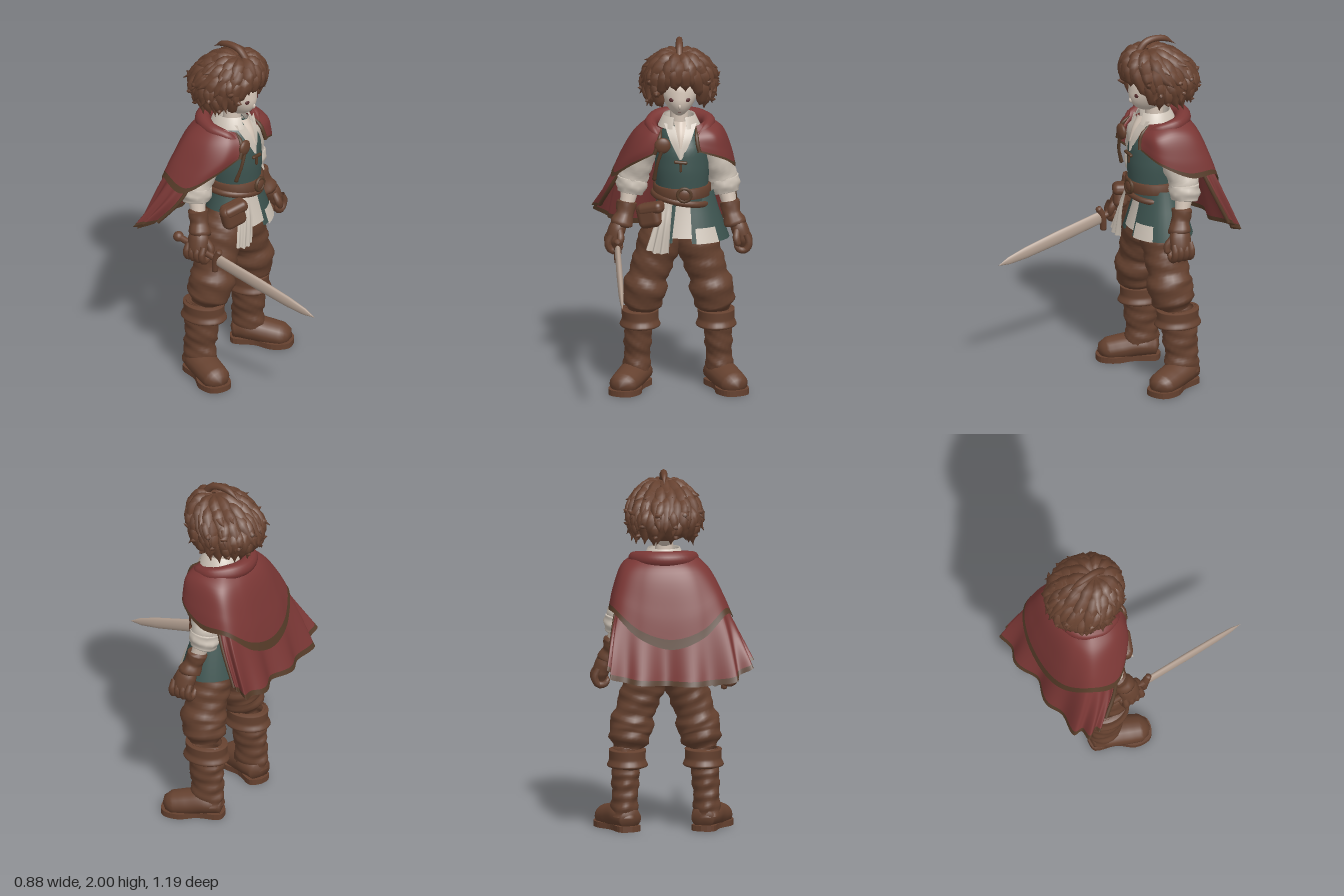
import * as THREE from 'three';
import { mergeVertices } from 'three/addons/utils/BufferGeometryUtils.js';
import { RoundedBoxGeometry } from 'three/addons/geometries/RoundedBoxGeometry.js';

const V = (x, y, z) => new THREE.Vector3(x, y, z);
const mat = (name, color) => {
  const m = new THREE.MeshStandardMaterial({ color, side: THREE.DoubleSide });
  m.name = name;
  return m;
};

export function createModel() {
  const root = new THREE.Group();
  root.name = 'adventurer';
  const hair = mat('hair brown', 0x674230), leather = mat('leather brown', 0x65412f);
  const red = mat('cape red', 0x7a3735), trim = mat('trim brown', 0x553b28);
  const green = mat('vest green', 0x3d5450), cloth = mat('cloth white', 0xcbc1b5);
  const skin = mat('skin', 0xd3c4b6), steel = mat('blade steel', 0xb19e90);
  const dark = mat('eye dark', 0x5a3030);

  const add = (name, material, geo, pos = [0, 0, 0], rot = [0, 0, 0], scale = [1, 1, 1], parent = root) => {
    const m = new THREE.Mesh(geo, material);
    m.name = name;
    m.position.set(...pos); m.rotation.set(...rot); m.scale.set(...scale);
    parent.add(m);
    return m;
  };
  const smooth = (g) => {
    g.deleteAttribute('uv'); g.deleteAttribute('normal');
    const s = mergeVertices(g, 1e-5);
    s.computeVertexNormals();
    return s;
  };
  // Tube through [x, y, z, radius] points, with optional stretch and slanting cloth wrinkles
  const limb = (name, material, pts, { k = [1, 1, 1], wrinkle = 0, seg = 20, rad = 14, floor = -9, parent = root } = {}) => {
    const curve = new THREE.CatmullRomCurve3(pts.map((p) => V(p[0], p[1], p[2])));
    const g = new THREE.TubeGeometry(curve, seg, 1, rad);
    const pos = g.attributes.position, p = V(), n = pts.length - 1;
    for (let i = 0; i <= seg; i++) {
      const t = curve.getUtoTmapping(i / seg) * n, a = Math.min(Math.floor(t), n - 1);
      const r = THREE.MathUtils.lerp(pts[a][3], pts[a + 1][3], THREE.MathUtils.smoothstep(t - a, 0, 1));
      const c = curve.getPointAt(i / seg);
      for (let j = 0; j <= rad; j++) {
        const q = i * (rad + 1) + j, ang = (j / rad) * Math.PI * 2;
        p.fromBufferAttribute(pos, q).sub(c);
        p.multiplyScalar(r + (r > 0 ? wrinkle * Math.sin(c.y * 80 + 3 * Math.sin(ang)) * Math.cos(ang * 2 + c.y * 25) : 0));
        pos.setXYZ(q, c.x + p.x * k[0], Math.max(floor, c.y + p.y * k[1]), c.z + p.z * k[2]);
      }
    }
    return add(name, material, smooth(g), [0, 0, 0], [0, 0, 0], [1, 1, 1], parent);
  };
  // Cloth sheet through columns of control points, for v from v0 to v1
  const sheet = (name, material, cols, { nu = 64, nv = 14, v0 = 0, v1 = 1, amp = 0, freq = 1 } = {}) => {
    const rows = cols[0].map((_, r) => new THREE.CatmullRomCurve3(cols.map((c) => V(...c[r]))));
    const g = new THREE.PlaneGeometry(1, 1, nu, nv), pos = g.attributes.position;
    for (let i = 0; i <= nu; i++) {
      const line = new THREE.CatmullRomCurve3(rows.map((r) => r.getPoint(i / nu)));
      for (let j = 0; j <= nv; j++) {
        const v = v0 + (v1 - v0) * j / nv, p = line.getPoint(v);
        const out = V(p.x - 0.04, 0, p.z + 0.2).normalize();
        p.addScaledVector(out, amp * Math.pow(v, 1.3) * Math.sin(i / nu * freq));
        pos.setXYZ(j * (nu + 1) + i, p.x, p.y, p.z);
      }
    }
    g.computeVertexNormals();
    return add(name, material, g);
  };
  const lathe = (name, material, prof, x, z, kz = 1, start = 0, len = Math.PI * 2) =>
    add(name, material, new THREE.LatheGeometry(prof.map((p) => new THREE.Vector2(...p)), 36, start, len),
      [x, 0, z], [0, 0, 0], [1, 1, kz]);

  // Head: sphere narrowed to the chin but kept full in front, with small features
  const face = new THREE.SphereGeometry(1, 32, 24), fp = face.attributes.position;
  for (let i = 0; i < fp.count; i++) {
    const y = fp.getY(i), z = fp.getZ(i), low = Math.min(y, 0);
    fp.setXYZ(i, fp.getX(i) * (1 + 0.35 * low) * 0.11, y * 0.14, z * (z > 0 ? 1 - 0.25 * low : 1) * 0.14);
  }
  add('head', skin, smooth(face), [0.04, 1.71, -0.19]);
  add('nose', skin, new THREE.SphereGeometry(0.012, 10, 8), [0.04, 1.648, -0.053], [0.3, 0, 0], [0.7, 1.3, 1]);
  add('mouth', dark, new THREE.BoxGeometry(0.018, 0.002, 0.004), [0.04, 1.612, -0.071]);
  for (const s of [-1, 1]) {
    add('eye', dark, new THREE.SphereGeometry(1, 14, 10), [0.04 + s * 0.046, 1.686, -0.062], [0, s * 0.4, 0], [0.014, 0.012, 0.005]);
    add('ear', skin, new THREE.SphereGeometry(1, 12, 8), [0.04 + s * 0.108, 1.67, -0.2], [0, 0, 0], [0.015, 0.035, 0.025]);
  }
  lathe('neck', skin, [[0.055, 1.45], [0.05, 1.54], [0.05, 1.64]], 0.04, -0.2);

  // Hair: cap under overlapping locks whose pointed tips flick outwards
  let seed = 7;
  const rnd = () => ((seed = (seed * 16807) % 2147483647) / 2147483647) - 0.5;
  add('hairCap', hair, new THREE.SphereGeometry(1, 28, 18, 0, Math.PI * 2, 0, 1.95), [0.04, 1.76, -0.225], [-0.5, 0, 0], [0.172, 0.165, 0.178]);
  const onHead = (phi, a, s) => V(0.04 + 0.175 * s * Math.sin(phi) * Math.sin(a), 1.757 + 0.165 * s * Math.cos(phi),
    -0.235 + 0.18 * s * Math.sin(phi) * Math.cos(a) + 0.08 * Math.max(0, Math.cos(phi)));
  const lock = (path, a, sway) => limb('hairLock', hair,
    path.map(([f, s, w, r]) => [...onHead(f, a + sway * w, s).toArray(), r]), { seg: 10, rad: 7 });
  const rings = [[0.05, 1.1, 11], [0.3, 1.6, 15], [0.7, 1.95, 19], [1.15, 2.3, 20]];
  rings.forEach(([f0, f1, n], ring) => {
    for (let i = 0; i < n; i++) {
      const a = ((i + 0.5 * (ring % 2)) / n) * Math.PI * 2 - Math.PI, front = Math.abs(a);
      if (ring === 3 && front < 0.6) continue;
      let end = f1 + rnd() * 0.25;
      if (front < 0.22) end = Math.min(end, 1.65);
      else if (front < 0.6) end = Math.min(end + 0.05, 2.0);
      const sway = rnd() * 0.5, tip = (front < 0.9 ? 1.12 : 1.3) + rnd() * 0.14;
      lock([[f0, 0.97, 0, 0.018], [f0 * 0.6 + end * 0.4, 1.03, 0.1, 0.04], [f0 * 0.22 + end * 0.78, 1.06, 0.5, 0.032], [end, tip, 1, 0]], a, sway);
    }
  });
  // Loose ends curling up at the sides and back
  for (let i = 0; i < 20; i++) {
    const a = Math.PI + (i / 19 - 0.5) * 4.6, f = 1.2 + (i % 3) * 0.32;
    lock([[f - 0.4, 0.97, 0, 0.02], [f, 1.1, 0.3, 0.03], [f + 0.25, 1.19, 0.7, 0.022], [f + 0.2, 1.34, 1, 0]], a, rnd() * 0.6);
  }
  limb('cowlick', hair, [[0.04, 1.91, -0.09, 0.02], [0.04, 1.975, -0.15, 0.02], [0.042, 1.98, -0.25, 0.018], [0.05, 1.93, -0.335, 0]], { rad: 8 });

  // Torso: vest, shirt front, collar, toggle
  limb('vest', green, [[0.05, 1.52, -0.2, 0.06], [0.05, 1.46, -0.2, 0.115], [0.055, 1.36, -0.19, 0.145], [0.055, 1.27, -0.19, 0.15], [0.055, 1.1, -0.19, 0.142]], { rad: 28 });
  sheet('shirtFront', cloth, [
    [[-0.045, 1.54, -0.12], [-0.012, 1.45, -0.07], [0.038, 1.35, -0.042]],
    [[0.045, 1.52, -0.1], [0.045, 1.45, -0.06], [0.045, 1.35, -0.038]],
    [[0.135, 1.54, -0.12], [0.102, 1.45, -0.07], [0.052, 1.35, -0.042]]], { nu: 12 });
  sheet('chestSkin', skin, [
    [[0.01, 1.55, -0.115], [0.025, 1.48, -0.068], [0.041, 1.41, -0.044]],
    [[0.045, 1.55, -0.1], [0.045, 1.48, -0.062], [0.045, 1.41, -0.041]],
    [[0.08, 1.55, -0.115], [0.065, 1.48, -0.068], [0.049, 1.41, -0.044]]], { nu: 10 });
  lathe('collar', cloth, [[0.08, 1.49], [0.078, 1.565], [0.088, 1.572], [0.118, 1.51]], 0.04, -0.2, 1.02, 0.35, Math.PI * 2 - 0.7);
  add('toggle', trim, new RoundedBoxGeometry(0.075, 0.018, 0.02, 2, 0.008), [0.045, 1.335, -0.035], [0, 0, -0.1]);
  add('toggleCord', trim, new RoundedBoxGeometry(0.014, 0.06, 0.014, 2, 0.006), [0.045, 1.31, -0.036]);

  // Skirt of the vest, split in front over the shirt tail
  const flare = (r, h) => [[0.148 * r, 1.14], [0.18 * r, 1.03], [0.238 * r, h]];
  lathe('vestSkirt', green, [...flare(1, 0.872), [0.226, 0.87], [0.205, 0.92]], 0.08, -0.2, 0.75, 0.12, Math.PI * 2 - 0.49);
  lathe('shirtTail', cloth, flare(0.95, 0.9), 0.08, -0.2, 0.75, -0.7, 0.95);
  lathe('hemPatch', cloth, [[0.212, 0.955], [0.244, 0.872]], 0.08, -0.2, 0.78, 0.22, 0.6);
  sheet('hangingCloth', cloth, [
    [[-0.07, 1.1, -0.08], [-0.1, 0.98, -0.06], [-0.145, 0.84, -0.035]],
    [[-0.04, 1.1, -0.06], [-0.06, 0.98, -0.03], [-0.09, 0.82, -0.015]],
    [[0.0, 1.1, -0.045], [-0.01, 0.98, -0.025], [-0.02, 0.82, -0.02]]], { nu: 24, amp: 0.01, freq: 19 });

  // Belts, buckle and pouch
  lathe('belt', leather, [[0.145, 1.115], [0.16, 1.12], [0.16, 1.175], [0.145, 1.18]], 0.055, -0.19);
  add('lowBelt', leather, new THREE.TorusGeometry(0.158, 0.013, 8, 36), [0.05, 1.1, -0.19], [Math.PI / 2, -0.17, 0], [1, 0.95, 1.4]);
  add('buckleRing', trim, new THREE.TorusGeometry(0.036, 0.01, 8, 20), [0.065, 1.15, -0.028]);
  add('buckle', leather, new THREE.SphereGeometry(0.036, 16, 10), [0.065, 1.15, -0.03], [0, 0, 0], [1, 1, 0.45]);
  add('pouch', leather, new RoundedBoxGeometry(0.14, 0.14, 0.08, 4, 0.035), [-0.125, 1.025, -0.075], [0, -0.45, 0.25]);
  add('pouchFlap', leather, new RoundedBoxGeometry(0.15, 0.065, 0.095, 4, 0.028), [-0.115, 1.065, -0.075], [0, -0.45, 0.25]);

  // Mirrored limbs about the body's middle line
  for (const s of [-1, 1]) {
    const X = (pts) => pts.map(([d, y, z, r]) => [0.035 + s * d, y, z, r]);
    limb('trouserLeg', leather, X([[0.06, 0.98, -0.2, 0.1], [0.09, 0.88, -0.2, 0.125], [0.135, 0.75, -0.2, 0.114], [0.165, 0.66, -0.2, 0.108],
      [0.182, 0.59, -0.2, 0.122], [0.193, 0.545, -0.205, 0.115], [0.2, 0.505, -0.215, 0.114], [0.21, 0.45, -0.225, 0.075]]), { k: [1, 1, 1.07], wrinkle: 0.006, seg: 36, rad: 24 });
    limb('bootShaft', leather, X([[0.21, 0.45, -0.235, 0.085], [0.22, 0.32, -0.24, 0.082], [0.225, 0.2, -0.25, 0.076], [0.23, 0.08, -0.25, 0.08]]),
      { k: [0.95, 1, 1.25], wrinkle: 0.006, seg: 32, rad: 20 });
    limb('bootCuff', leather, X([[0.21, 0.455, -0.235, 0.08], [0.21, 0.45, -0.235, 0.108], [0.21, 0.4, -0.235, 0.106], [0.21, 0.36, -0.235, 0.12], [0.21, 0.345, -0.235, 0.085]]),
      { k: [0.95, 1, 1.13], rad: 24 });
    // Boot foot and sole, toes turned out
    const foot = new THREE.Group();
    foot.name = 'foot';
    foot.position.set(0.035 + s * 0.25, 0, -0.208);
    foot.rotation.y = s * 0.42;
    root.add(foot);
    limb('bootFoot', leather, [[0, 0.07, -0.145, 0], [0, 0.07, -0.13, 0.06], [0, 0.085, -0.04, 0.08], [0, 0.068, 0.06, 0.078], [0, 0.055, 0.14, 0.074], [0, 0.05, 0.185, 0.045], [0, 0.045, 0.2, 0]],
      { k: [1.08, 0.9, 1], rad: 18, floor: 0.02, parent: foot });
    const outline = new THREE.Shape(new THREE.SplineCurve([[0, 0.15], [0.065, 0.12], [0.06, 0], [0.09, -0.1], [0.065, -0.185], [0, -0.208],
      [-0.065, -0.185], [-0.09, -0.1], [-0.06, 0], [-0.065, 0.12], [0, 0.15]].map((p) => new THREE.Vector2(...p))).getPoints(40));
    add('sole', leather, new THREE.ExtrudeGeometry(outline, { depth: 0.032, bevelEnabled: false }), [0, 0, 0], [-Math.PI / 2, 0, 0], [1, 1, 1], foot);

    limb('sleeve', cloth, X([[0.11, 1.45, -0.2, 0.05], [0.17, 1.38, -0.2, 0.07], [0.215, 1.29, -0.23, 0.078], [0.245, 1.2, -0.255, 0.085], [0.265, 1.12, -0.25, 0.05]]), { wrinkle: 0.005, seg: 26 });
    limb('sleeveRoll', cloth, X([[0.25, 1.2, -0.255, 0.06], [0.251, 1.195, -0.255, 0.084], [0.258, 1.15, -0.252, 0.086], [0.266, 1.108, -0.248, 0.074], [0.267, 1.103, -0.247, 0.04]]), { wrinkle: 0.005 });
    limb('forearm', skin, X([[0.262, 1.15, -0.25, 0.05], [0.285, 1.04, -0.22, 0.04], [0.3, 0.97, -0.2, 0.038]]));
    limb('bracer', leather, X([[0.282, 1.07, -0.225, 0.042], [0.283, 1.065, -0.225, 0.057], [0.295, 1.0, -0.205, 0.052], [0.314, 0.945, -0.19, 0.064], [0.316, 0.935, -0.19, 0.04]]), { wrinkle: 0.003 });
    limb('gloveHand', leather, X([[0.315, 0.97, -0.195, 0.04], [0.338, 0.92, -0.18, 0.05], [0.355, 0.87, -0.175, 0.048], [0.355, 0.82, -0.175, 0.03], [0.355, 0.81, -0.175, 0]]), { k: [0.95, 1, 1.25] });
    for (let i = 0; i < 4; i++) {
      const z = -0.225 + i * 0.034;
      limb('finger', leather, X([[0.37, 0.9, z, 0.016], [0.39, 0.85, z, 0.02], [0.37, 0.81, z, 0.019], [0.335, 0.812, z, 0.018], [0.315, 0.845, z, 0.012], [0.317, 0.855, z, 0]]), { seg: 12, rad: 8 });
    }
    limb('thumb', leather, X([[0.325, 0.92, -0.14, 0.02], [0.32, 0.88, -0.11, 0.021], [0.33, 0.845, -0.105, 0.017], [0.335, 0.835, -0.105, 0]]), { seg: 10, rad: 8 });
  }

  // Cape: pleated lower cape, shoulder mantle with a rounded back, rolled hood, clasp
  const lower = [
    [[0.275, 1.4, -0.3], [0.33, 1.18, -0.385], [0.365, 0.95, -0.49]],
    [[0.255, 1.42, -0.355], [0.315, 1.17, -0.455], [0.345, 0.89, -0.56]],
    [[0.04, 1.4, -0.4], [0.04, 1.12, -0.475], [0.04, 0.85, -0.56]],
    [[-0.2, 1.42, -0.36], [-0.275, 1.16, -0.46], [-0.315, 0.87, -0.56]],
    [[-0.245, 1.37, -0.28], [-0.345, 1.15, -0.38], [-0.425, 0.96, -0.5]],
    [[-0.23, 1.34, -0.21], [-0.335, 1.13, -0.29], [-0.395, 1.0, -0.39]]];
  const mantle = [
    [[0.13, 1.52, -0.12], [0.135, 1.47, -0.07], [0.14, 1.43, -0.055], [0.15, 1.39, -0.05]],
    [[0.16, 1.53, -0.14], [0.24, 1.47, -0.1], [0.27, 1.39, -0.1], [0.29, 1.33, -0.11]],
    [[0.19, 1.54, -0.2], [0.27, 1.49, -0.2], [0.325, 1.36, -0.22], [0.355, 1.25, -0.27]],
    [[0.17, 1.55, -0.29], [0.265, 1.47, -0.34], [0.31, 1.34, -0.39], [0.33, 1.24, -0.42]],
    [[0.1, 1.55, -0.32], [0.16, 1.47, -0.395], [0.19, 1.28, -0.465], [0.2, 1.11, -0.51]],
    [[0.03, 1.55, -0.33], [0.03, 1.47, -0.41], [0.02, 1.25, -0.485], [0.02, 1.05, -0.53]],
    [[-0.04, 1.55, -0.32], [-0.1, 1.47, -0.395], [-0.15, 1.28, -0.465], [-0.16, 1.11, -0.51]],
    [[-0.1, 1.55, -0.29], [-0.19, 1.46, -0.34], [-0.255, 1.34, -0.39], [-0.295, 1.23, -0.43]],
    [[-0.12, 1.54, -0.2], [-0.2, 1.46, -0.2], [-0.275, 1.31, -0.22], [-0.33, 1.19, -0.28]],
    [[-0.1, 1.53, -0.13], [-0.15, 1.46, -0.1], [-0.2, 1.37, -0.1], [-0.235, 1.29, -0.13]],
    [[-0.06, 1.51, -0.1], [-0.07, 1.47, -0.06], [-0.085, 1.42, -0.045], [-0.1, 1.38, -0.045]]];
  for (const [name, cols, amp, freq, edge] of [['lowerCape', lower, 0.022, 44, 0.95], ['mantle', mantle, 0.004, 26, 0.91]]) {
    sheet(name, red, cols, { nu: 110, nv: 18, v1: edge, amp, freq });
    sheet(name + 'Trim', trim, cols, { nu: 110, nv: 2, v0: edge, amp, freq });
    for (const col of [cols[0], cols[cols.length - 1]])
      limb(name + 'FrontEdge', trim, col.map((p, i) => [...p, i ? 0.011 : 0.004]), { rad: 8 });
  }
  limb('rolledHood', red, [[0.14, 1.48, -0.09, 0.012], [0.19, 1.505, -0.16, 0.03], [0.2, 1.52, -0.25, 0.038], [0.13, 1.525, -0.33, 0.045], [0.04, 1.525, -0.355, 0.046],
    [-0.06, 1.525, -0.325, 0.045], [-0.115, 1.515, -0.23, 0.036], [-0.105, 1.5, -0.14, 0.03], [-0.065, 1.46, -0.07, 0.012]], { seg: 48 });
  add('clasp', leather, new THREE.SphereGeometry(0.045, 20, 12), [-0.055, 1.43, -0.045], [0, 0, 0], [1, 1, 0.45]);
  limb('claspCord', trim, [[-0.06, 1.4, -0.04, 0.01], [-0.085, 1.32, -0.045, 0.009], [-0.1, 1.23, -0.07, 0.012], [-0.1, 1.22, -0.07, 0]], { rad: 8 });

  // Sword held forward in the right hand
  const sword = new THREE.Group();
  sword.name = 'sword';
  sword.position.set(-0.303, 0.834, -0.06);
  sword.rotation.set(0.24, 0.02, 0);
  root.add(sword);
  const blade = new THREE.LatheGeometry([[0, 0], [0.036, 0], [0.038, 0.3], [0.033, 0.5], [0.022, 0.61], [0, 0.68]].map((p) => new THREE.Vector2(...p)), 16);
  add('blade', steel, blade, [0, 0, 0], [Math.PI / 2, 0, 0], [0.45, 1, 1], sword);
  limb('guard', leather, [[0, -0.085, 0.015, 0], [0, -0.08, 0.012, 0.017], [0, 0, 0, 0.022], [0, 0.06, 0.012, 0.017], [0, 0.065, 0.015, 0]], { rad: 10, parent: sword });
  add('grip', leather, new THREE.CylinderGeometry(0.019, 0.019, 0.25, 12), [0, 0, -0.125], [Math.PI / 2, 0, 0], [1, 1, 1], sword);
  add('pommel', leather, new THREE.SphereGeometry(0.03, 14, 10), [0, 0, -0.26], [0, 0, 0], [1, 1, 1], sword);
  return root;
}
